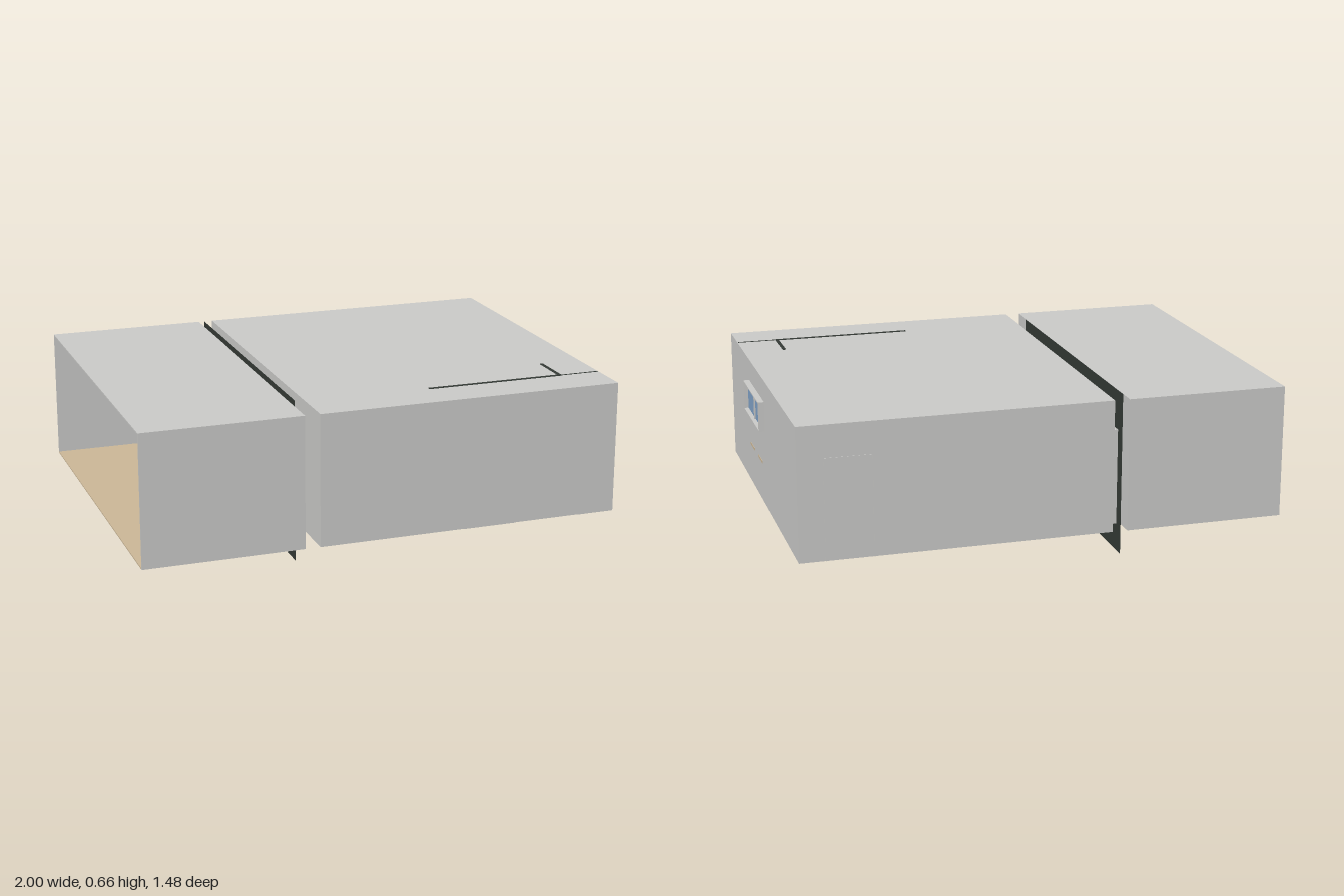
import * as THREE from 'three';

const mat = (name, color) => Object.assign(new THREE.MeshStandardMaterial({ color }), { name });

export function createModel() {
  const grey = mat('wall grey', 0xcacac8);
  const dark = mat('charcoal', 0x343a35);
  const tan = mat('wood tan', 0xcbb797);
  const blue = mat('glass blue', 0x80a1c6);
  const model = new THREE.Group();
  model.name = 'twoPartCabin';

  // Box given by its limits on each axis
  function box(parent, name, material, [x0, x1], [y0, y1], [z0, z1]) {
    const mesh = new THREE.Mesh(new THREE.BoxGeometry(x1 - x0, y1 - y0, z1 - z0), material);
    mesh.position.set((x0 + x1) / 2, (y0 + y1) / 2, (z0 + z1) / 2);
    mesh.name = name;
    parent.add(mesh);
    return mesh;
  }

  const bottom = 0.112, top = 0.653, depth = 0.74, t = 0.005;

  // Room shell: thin walls, roof and a wooden floor; the outer end may be open
  function room(name, x0, x1, openEnd) {
    const g = new THREE.Group();
    g.name = name;
    const inner0 = openEnd ? x0 : x0 + t;
    box(g, 'roof', grey, [x0, x1], [top - t, top], [-depth, depth]);
    for (const s of [-1, 1]) {
      const z = [s * depth, s * (depth - t)].sort((a, b) => a - b);
      box(g, s > 0 ? 'frontWall' : 'backWall', grey, [x0, x1], [bottom, top - t], z);
    }
    box(g, 'leftEndWall', grey, [x1 - t, x1], [bottom, top - t], [-depth + t, depth - t]);
    if (!openEnd) box(g, 'rightEndWall', grey, [x0, x0 + t], [bottom, top - t], [-depth + t, depth - t]);
    box(g, 'floor', tan, [inner0, x1 - t], [bottom, bottom + t], [-depth + t, depth - t]);
    model.add(g);
    return g;
  }
  room('smallRoom', -1, -0.346, true);
  const main = room('mainRoom', -0.285, 0.975, false);

  // Upright divider sheet in the gap
  const divider = new THREE.Mesh(new THREE.PlaneGeometry(1.275, 0.664), dark);
  dark.side = THREE.DoubleSide;
  divider.rotation.y = Math.PI / 2;
  divider.position.set(-0.332, 0.332, -0.0625);
  divider.name = 'divider';
  model.add(divider);

  // Connecting blocks bridging the gap
  box(model, 'tallConnector', grey, [-0.346, -0.285], [bottom, 0.505], [-0.65, -0.19]);
  box(model, 'lowConnector', grey, [-0.346, -0.285], [bottom, 0.325], [-0.03, 0.48]);

  // Projecting window: sleeve, recessed glass and central bar
  const win = new THREE.Group();
  win.name = 'window';
  const wz = [-0.063, 0.287], wy = [0.437, 0.561], f = 0.005;
  for (const y of [wy[0], wy[1] - f]) box(win, 'frameRail', grey, [0.975, 1], [y, y + f], wz);
  for (const z of [wz[0], wz[1] - f]) box(win, 'frameSide', grey, [0.975, 1], [wy[0] + f, wy[1] - f], [z, z + f]);
  box(win, 'glass', blue, [0.975, 0.982], [wy[0] + f, wy[1] - f], [wz[0] + f, wz[1] - f]);
  box(win, 'centreBar', grey, [0.982, 0.988], [wy[0] + f, wy[1] - f], [0.109, 0.115]);
  main.add(win);

  // Thin wooden slats below the window
  for (const z of [0.015, 0.2]) {
    box(main, 'slat', tan, [0.975, 0.977], [0.277, 0.287], [z, z + 0.093]);
  }

  // Partition tops showing through the roof
  box(main, 'longPartitionTop', dark, [0.23, 0.81], [top, top + 0.002], [0.558, 0.572]);
  box(main, 'shortPartitionTop', dark, [0.795, 0.809], [top, top + 0.002], [0.39, 0.558]);
  box(main, 'thinPartitionTop', dark, [0.81, 0.972], [top, top + 0.002], [0.564, 0.568]);

  // Slim door outline on the back wall
  for (const x of [0.68, 0.87]) {
    box(main, 'doorJamb', grey, [x - 0.002, x + 0.002], [bottom, 0.52], [-depth - 0.002, -depth]);
  }
  box(main, 'doorHead', grey, [0.68, 0.87], [0.518, 0.522], [-depth - 0.002, -depth]);

  // Grey base slabs under the floor
  box(main, 'sideBaseSlab', grey, [0.825, 0.975], [bottom - 0.002, bottom], [-0.11, 0.738]);
  box(main, 'frontBaseSlab', grey, [0.32, 0.54], [bottom - 0.002, bottom], [0.62, 0.738]);

  return model;
}
